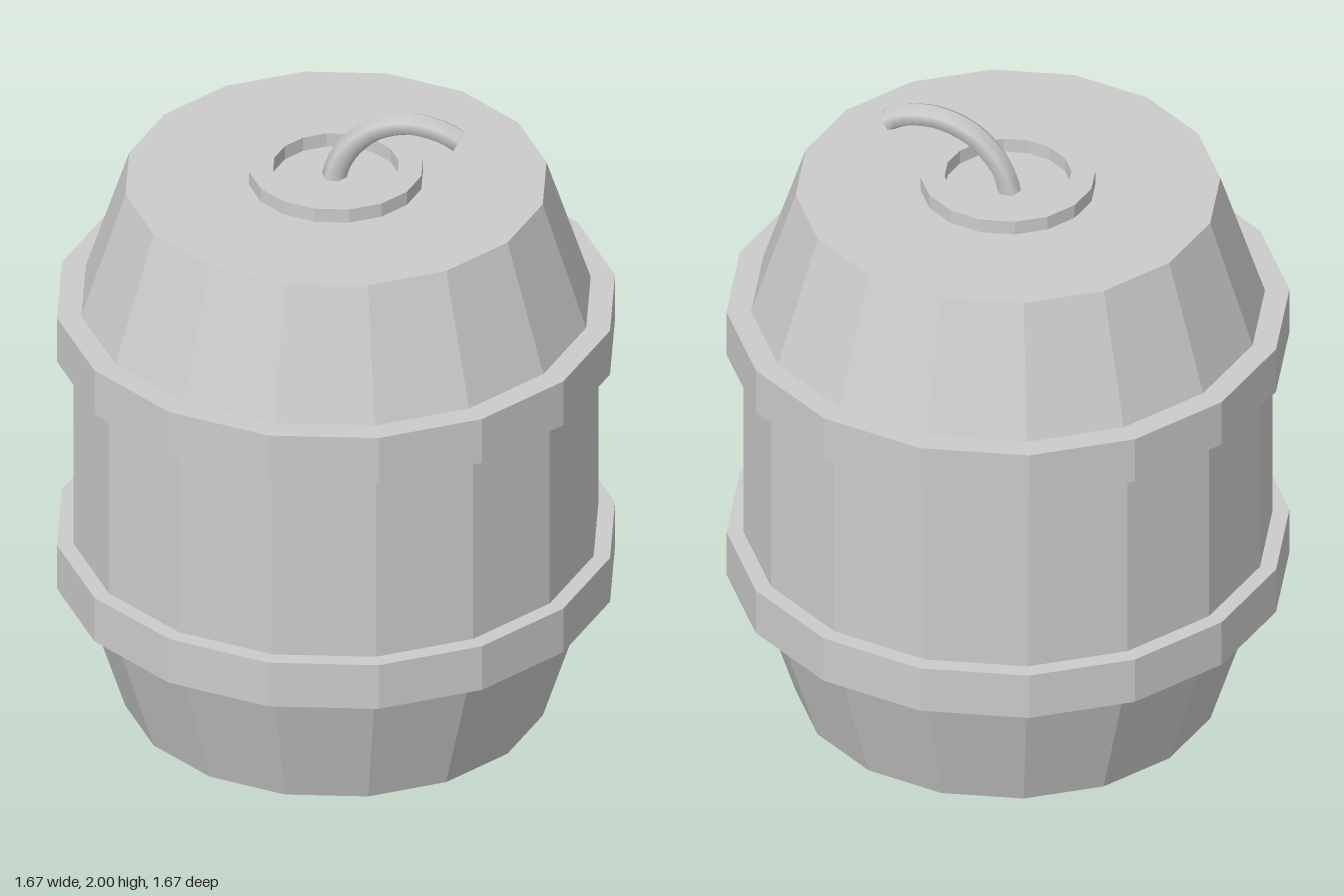
import * as THREE from 'three';
import { toCreasedNormals } from 'three/addons/utils/BufferGeometryUtils.js';

const SIDES = 16;

export function createModel() {
  const group = new THREE.Group();
  const flat = new THREE.MeshStandardMaterial({ color: 0xcccccc, flatShading: true });
  const smooth = new THREE.MeshStandardMaterial({ color: 0xcccccc });

  // Faceted turned part from [radius, height] pairs, listed bottom to top
  const turned = (name, profile) => {
    const points = profile.map(([r, y]) => new THREE.Vector2(r, y));
    const mesh = new THREE.Mesh(new THREE.LatheGeometry(points, SIDES), flat);
    mesh.name = name;
    group.add(mesh);
  };

  // Barrel with tapered ends and closed top and bottom
  turned('barrel', [[0, 0], [0.63, 0], [0.785, 0.48], [0.785, 1.28], [0.63, 1.755], [0, 1.755]]);

  // Two hoops around the barrel
  for (const [name, y] of [['lowerHoop', 0.42], ['upperHoop', 1.2]]) {
    turned(name, [[0.75, y], [0.835, y], [0.835, y + 0.15], [0.75, y + 0.15]]);
  }

  // Raised rim around the fuse hole
  turned('fuseRim', [[0.26, 1.75], [0.26, 1.8], [0.188, 1.8], [0.188, 1.75]]);

  // Curved six-sided fuse, smooth along its length with a sharp end
  const path = new THREE.CatmullRomCurve3([
    [-0.01, 1.75], [0.003, 1.8], [0.04, 1.865], [0.11, 1.93],
    [0.21, 1.964], [0.29, 1.959], [0.34, 1.943], [0.37, 1.926],
  ].map(([x, y]) => new THREE.Vector3(x, y, -0.015)));
  const hexagon = new THREE.Shape(Array.from({ length: 6 }, (_, i) => {
    const a = Math.PI / 2 + (i * Math.PI) / 3;
    return new THREE.Vector2(Math.cos(a) * 0.037, Math.sin(a) * 0.037);
  }));
  const fuseGeometry = new THREE.ExtrudeGeometry(hexagon, { steps: 16, extrudePath: path, bevelEnabled: false });
  const fuse = new THREE.Mesh(toCreasedNormals(fuseGeometry, 1.25), smooth);
  fuse.name = 'fuse';
  group.add(fuse);

  return group;
}
